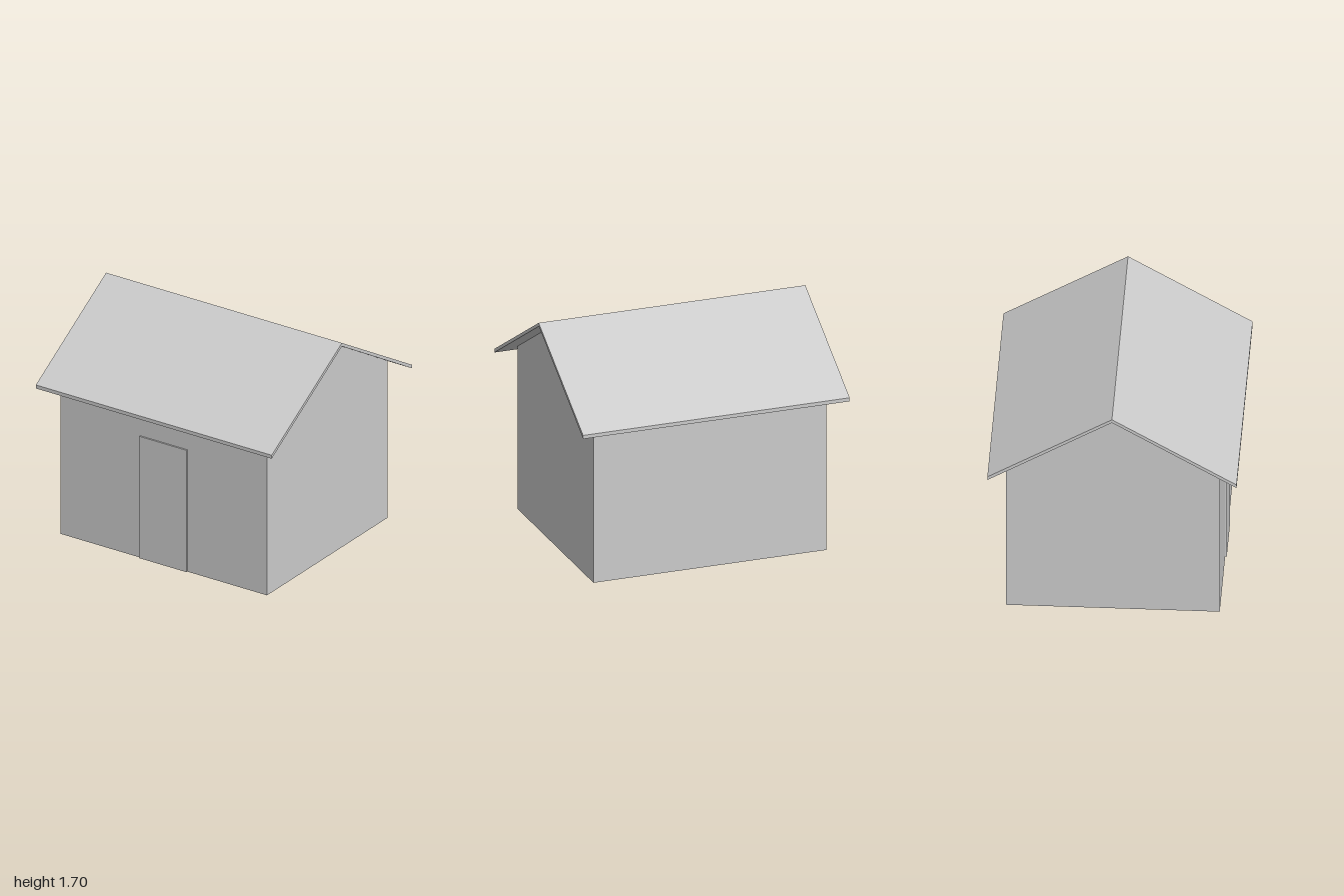
import * as THREE from 'three';

const material = new THREE.MeshStandardMaterial({ color: 0xcccccc, flatShading: true });

// Extrudes a [z, y] outline along x, centred on x = 0
function extrudeAlongX(name, outline, width) {
  const shape = new THREE.Shape(outline.map(([z, y]) => new THREE.Vector2(-z, y)));
  const geometry = new THREE.ExtrudeGeometry(shape, { depth: width, bevelEnabled: false });
  geometry.translate(0, 0, -width / 2);
  geometry.rotateY(Math.PI / 2);
  const mesh = new THREE.Mesh(geometry, material);
  mesh.name = name;
  return mesh;
}

export function createModel() {
  const group = new THREE.Group();
  group.name = 'house';

  const ridge = 1.7, ridgeUnder = 1.674;
  const eaveTop = 1.177, eaveUnder = 1.15;
  const eaveZ = 0.875, wallZ = 0.75;
  const wallTop = ridgeUnder - (ridgeUnder - eaveUnder) * wallZ / eaveZ;

  // Solid body with gable ends
  group.add(extrudeAlongX('walls', [
    [-wallZ, 0], [wallZ, 0], [wallZ, wallTop], [0, ridgeUnder], [-wallZ, wallTop],
  ], 1.75));

  // Thin overhanging gable roof
  group.add(extrudeAlongX('roof', [
    [-eaveZ, eaveUnder], [0, ridgeUnder], [eaveZ, eaveUnder],
    [eaveZ, eaveTop], [0, ridge], [-eaveZ, eaveTop],
  ], 2));

  // Door panel standing slightly proud of the front wall
  const door = new THREE.Mesh(new THREE.BoxGeometry(0.4, 0.95, 0.0225), material);
  door.name = 'door';
  door.position.set(0, 0.475, wallZ);
  group.add(door);

  return group;
}
